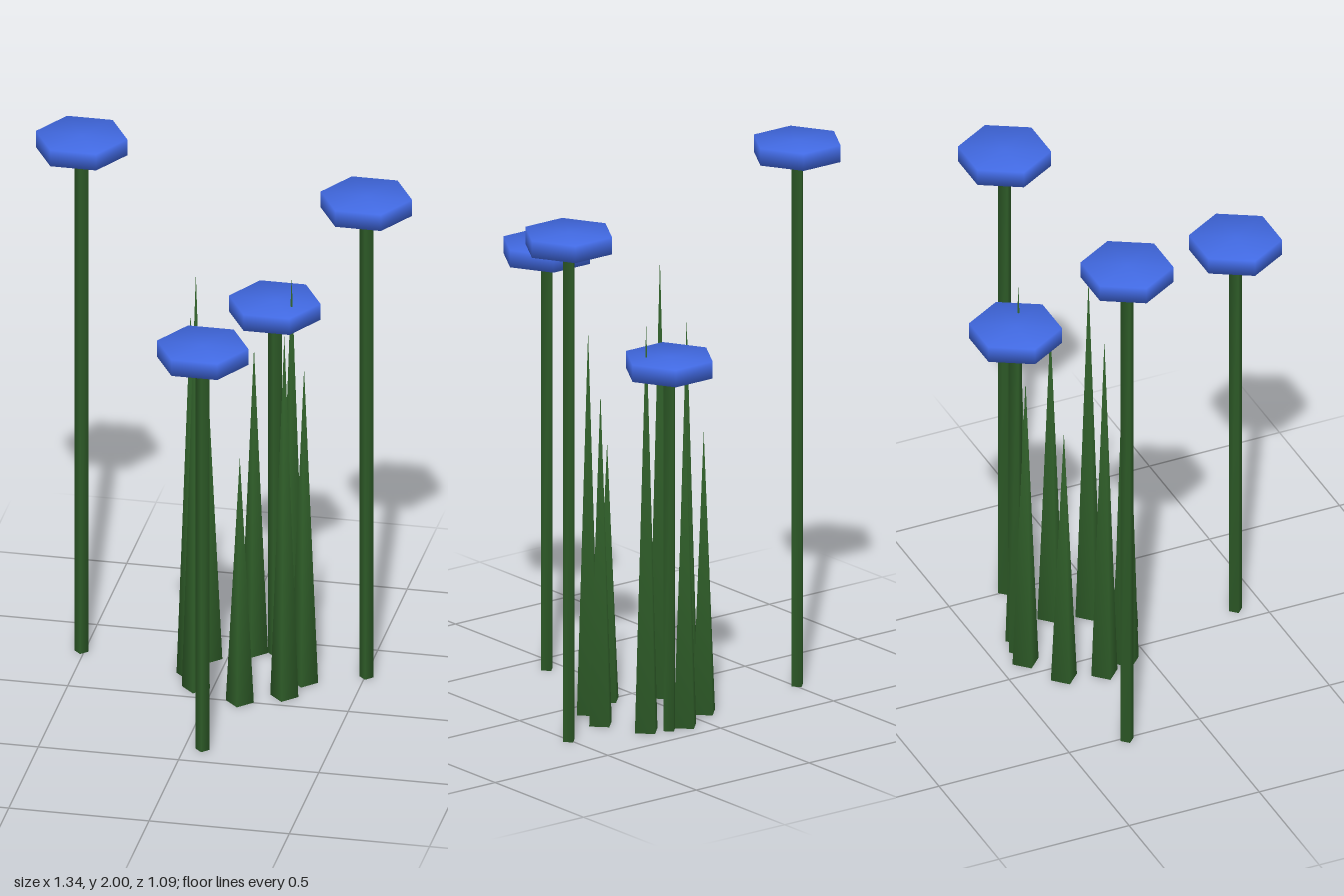
import * as THREE from 'three';
import { mergeVertices } from 'three/addons/utils/BufferGeometryUtils.js';

const petalBlue = new THREE.MeshStandardMaterial({ color: 0x4169e1 });
petalBlue.name = 'petal blue';
const leafGreen = new THREE.MeshStandardMaterial({ color: 0x2d5a27 });
leafGreen.name = 'leaf green';

// Share corners between caps and sides so shading runs smoothly over the edges
function weld(geometry) {
  geometry.deleteAttribute('uv');
  geometry.deleteAttribute('normal');
  const welded = mergeVertices(geometry, 1e-4);
  welded.computeVertexNormals();
  return welded;
}

function addPart(parent, name, geometry, material, x, y, z) {
  const mesh = new THREE.Mesh(weld(geometry), material);
  mesh.name = name;
  mesh.position.set(x, y, z);
  parent.add(mesh);
}

export function createModel() {
  const model = new THREE.Group();
  model.name = 'flowerClump';

  // Tall flowers: [x, z, top height]
  const headHeight = 0.062;
  const flowers = [
    [-0.51, -0.282, 2.0],
    [0.505, -0.285, 1.865],
    [0.065, 0.4, 1.568],
    [0.153, -0.405, 1.37],
  ];
  for (const [x, z, top] of flowers) {
    const flower = new THREE.Group();
    flower.name = 'flower';
    flower.position.set(x, 0, z);
    const stemHeight = top - headHeight / 2;
    addPart(flower, 'stem', new THREE.CylinderGeometry(0.025, 0.025, stemHeight, 4),
      leafGreen, 0, stemHeight / 2, 0);
    // Six-sided head with corners on the x axis
    const head = new THREE.CylinderGeometry(0.163, 0.163, headHeight, 6).rotateY(Math.PI / 6);
    addPart(flower, 'flowerHead', head, petalBlue, 0, top - headHeight / 2, 0);
    model.add(flower);
  }

  // Ring of pointed leaves: [x, z, height]
  const leaves = [
    [0.3, -0.203, 1.215],
    [0.256, -0.077, 1.4],
    [0.113, -0.002, 0.945],
    [-0.06, -0.08, 1.605],
    [-0.1, -0.18, 1.4],
    [-0.066, -0.32, 1.03],
    [0.08, -0.4, 1.18],
    [0.222, -0.362, 1.49],
  ];
  for (const [x, z, height] of leaves) {
    addPart(model, 'leaf', new THREE.ConeGeometry(0.05, height, 4), leafGreen, x, height / 2, z);
  }
  return model;
}
